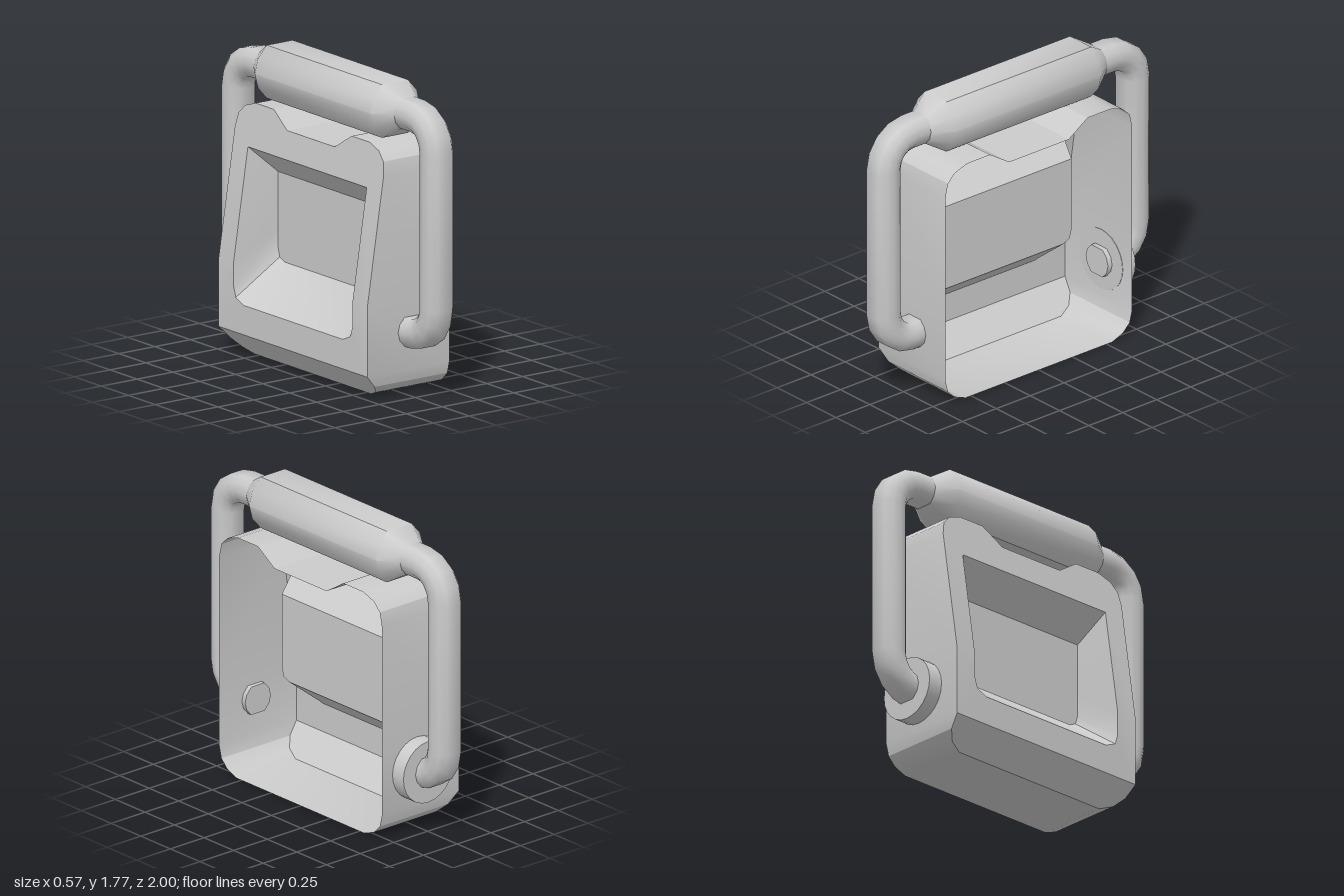
import * as THREE from 'three';
import { mergeGeometries, toCreasedNormals } from 'three/addons/utils/BufferGeometryUtils.js';

const BACK = 0.285, FLOOR = -0.015, HX = 0.022;

// x of the bent front panel at height y
function panelX(y) {
  if (y < 0.15) return -0.15 - 0.138 * (y / 0.15);
  if (y < 0.55) return -0.288;
  return -0.288 + 0.138 * (y - 0.55) / 0.9;
}

// half outline in [z, y], completed by its mirror image
const mirror = (half) => [...half, ...half.map(([z, y]) => [-z, y]).reverse()];

// flat polygon in [z, y], pushed to x = xOf(y)
function plate(half, xOf) {
  const g = new THREE.ShapeGeometry(new THREE.Shape(mirror(half).map(([z, y]) => new THREE.Vector2(z, y))));
  const p = g.attributes.position;
  for (let i = 0; i < p.count; i++) {
    const z = p.getX(i), y = p.getY(i);
    p.setXYZ(i, xOf(y), y, z);
  }
  return clean(g);
}

function clean(g) {
  const out = g.index ? g.toNonIndexed() : g;
  out.deleteAttribute('uv');
  out.computeVertexNormals();
  return out;
}

// joins successive closed rings of [x, y, z] points, optionally capped
function loft(rings, capped = false) {
  const n = rings[0].length, idx = [], pos = rings.flat(2);
  for (let r = 0; r < rings.length - 1; r++) {
    for (let i = 0; i < n; i++) {
      const a = r * n + i, b = r * n + (i + 1) % n;
      idx.push(a, b, b + n, a, b + n, a + n);
    }
  }
  if (capped) {
    const e = (rings.length - 1) * n;
    for (let i = 1; i < n - 1; i++) idx.push(0, i + 1, i, e, e + i, e + i + 1);
  }
  const g = new THREE.BufferGeometry();
  g.setAttribute('position', new THREE.Float32BufferAttribute(pos, 3));
  g.setIndex(idx);
  return clean(g);
}

// rounded bar section with flats at the top and bottom, in [x, normal]
const upper = [[1, 0], [0.87, 0.49], [0.52, 0.88], [-0.52, 0.88], [-0.87, 0.49]];
const section = [...upper, ...upper.map(([a, b]) => [-a, -b])];

// sweeps the section along path points [z, y, angle, radius]
function sweep(path) {
  return loft(path.map(([z, y, t, r]) => section.map(([a, b]) =>
    [HX + a * r, y + b * r * Math.sin(t), z + b * r * Math.cos(t)])), true);
}

export function createModel() {
  const model = new THREE.Group();
  const mat = new THREE.MeshStandardMaterial({ color: 0xcccccc, side: THREE.DoubleSide });
  const add = (name, geo, crease) => {
    const mesh = new THREE.Mesh(crease ? toCreasedNormals(geo, crease) : geo, mat);
    mesh.name = name;
    model.add(mesh);
    return mesh;
  };

  // housing outline, bottom to top, with the notch in the top edge
  const outline = [[0.54, 0], [0.62, 0.03], [0.67, 0.08], [0.688, 0.15], [0.688, 0.55], [0.688, 1.29],
    [0.67, 1.37], [0.62, 1.42], [0.53, 1.45], [0.36, 1.45], [0.22, 1.36]];
  const full = mirror(outline);
  add('housingWall', loft([
    full.map(([z, y]) => [BACK, y, z]),
    full.map(([z, y]) => [panelX(y), y, z]),
  ]), 0.5);

  // front panel in three bands around the opening
  const opening = [[0.55, 1.2], [0.55, 0.55], [0.55, 0.41], [0.53, 0.35], [0.46, 0.32]];
  add('frontPanel', mergeGeometries([
    plate(outline.slice(0, 4), panelX),
    plate([...opening.slice(1).reverse(), outline[4], outline[3]], panelX),
    plate([opening[0], opening[1], ...outline.slice(4)], panelX),
  ]), 0.6);

  // tapered recess and its floor
  const floor = [[0.5, 1.04], [0.5, 0.72], [0.5, 0.6], [0.485, 0.55], [0.44, 0.53]];
  add('recessWall', loft([
    mirror(opening).map(([z, y]) => [panelX(y), y, z]),
    mirror(floor).map(([z, y]) => [FLOOR, y, z]),
  ]), 0.75);
  add('recessFloor', plate(floor, () => FLOOR));

  // bail handle: a bar with four rounded bends
  const R = 0.095, bend = 0.175, half = Math.PI / 2;
  const path = [[0.66, 0.37, -half, R]];
  const corner = (z, y, start) => {
    for (let i = 0; i <= 4; i++) {
      const t = start + half * i / 4;
      path.push([z + bend * Math.cos(t), y + bend * Math.sin(t), t, R]);
    }
  };
  corner(0.742, 0.545, -half);
  corner(0.742, 1.445, 0);
  corner(-0.742, 1.445, half);
  corner(-0.742, 0.545, Math.PI);
  path.push([-0.655, 0.37, 3 * half, R]);
  add('handleBar', sweep(path), 0.9);

  // thick grip with tapered ends
  add('handleGrip', sweep([[0.65, 0.095], [0.535, 0.174], [-0.535, 0.174], [-0.65, 0.095]]
    .map(([z, r]) => [z, 1.617, half, r])), 0.75);

  // pivot collar on one side
  const collar = add('pivotCollar', new THREE.CylinderGeometry(0.184, 0.184, 0.095, 24));
  collar.rotation.x = half;
  collar.position.set(HX, 0.373, -0.733);

  return model;
}
